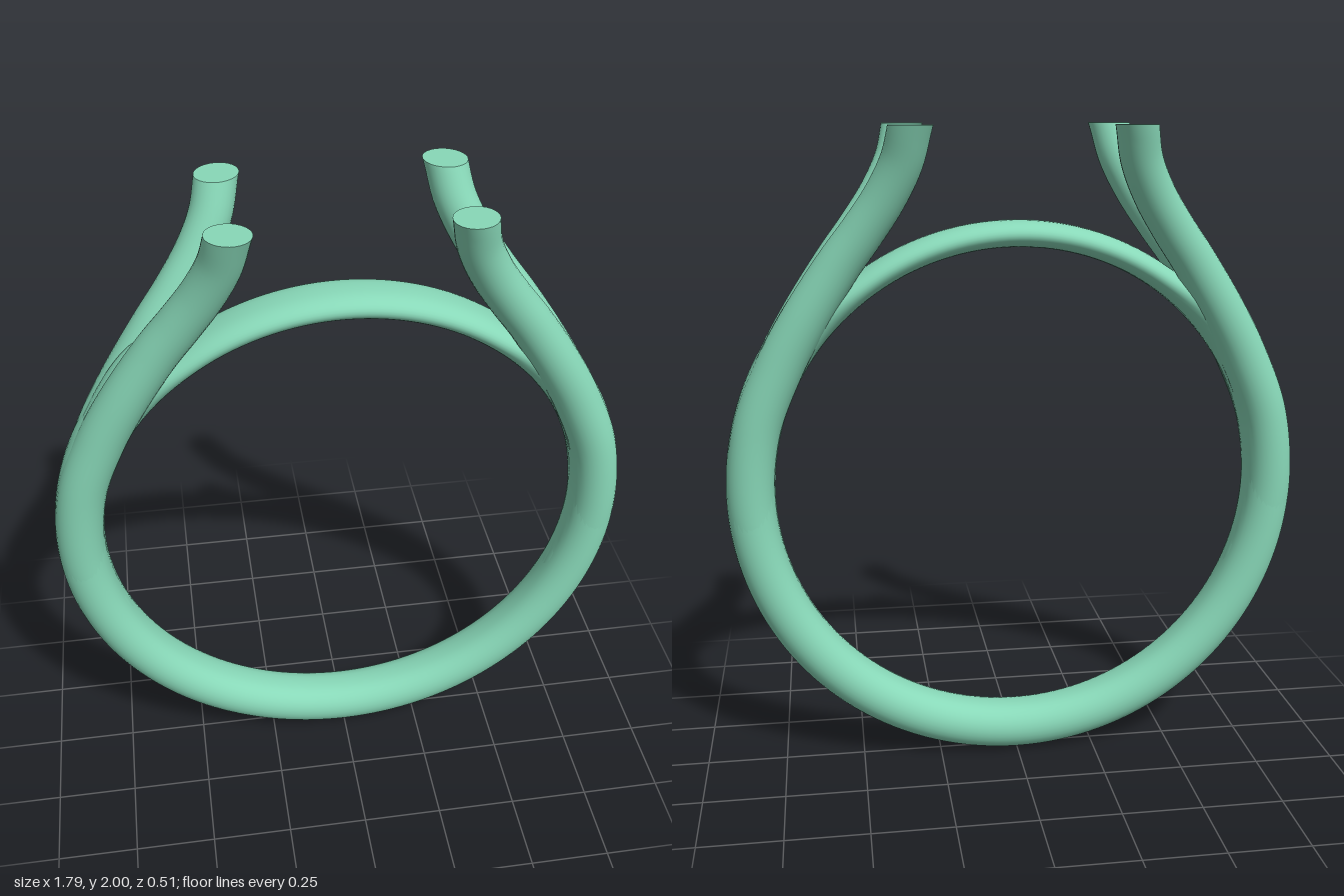
import * as THREE from 'three';

const CY = 0.896, R_IN = 0.745, TOP = 2;
const { lerp, smoothstep, degToRad, radToDeg } = THREE.MathUtils;
const material = new THREE.MeshStandardMaterial({ color: 0x88d8b8 });

// Skin a list of equally sized point loops; the list can close on itself
function loft(rings, closed) {
  const n = rings[0].length, m = rings.length, index = [];
  for (let i = 0; i < (closed ? m : m - 1); i++) {
    for (let j = 0; j < n; j++) {
      const k = (j + 1) % n, i2 = (i + 1) % m;
      const a = i * n + j, b = i * n + k, c = i2 * n + k, d = i2 * n + j;
      index.push(a, b, d, b, c, d);
    }
  }
  const g = new THREE.BufferGeometry().setFromPoints(rings.flat());
  g.setIndex(index);
  g.computeVertexNormals();
  return g;
}

// Band: rounded section, full at the sides and bottom, thin across the top
function bandGeometry() {
  const rings = [], steps = 160, sides = 32;
  for (let i = 0; i < steps; i++) {
    const a = (i / steps) * Math.PI * 2;              // angle from the top
    const fromTop = radToDeg(Math.min(a, Math.PI * 2 - a));
    const half = lerp(0.04, 0.075, smoothstep(fromTop, 34, 62));
    const loop = [];
    for (let j = 0; j < sides; j++) {
      const b = (j / sides) * Math.PI * 2;
      const r = R_IN + half + half * Math.cos(b);
      const z = 0.074 * Math.sin(b) + 0.012 * Math.tanh(4 * Math.sin(b));
      loop.push(new THREE.Vector3(Math.sin(a) * r, CY + Math.cos(a) * r, z));
    }
    rings.push(loop);
  }
  return loft(rings, true);
}

// Centre line of one prong: follows the band, then peels up and outwards
const onBand = (deg, z) => {
  const a = degToRad(deg);
  return new THREE.Vector3(0.82 * Math.cos(a), CY + 0.82 * Math.sin(a), z);
};
const points = [
  onBand(-24, 0.004), onBand(-12, 0.01), onBand(0, 0.016), onBand(15, 0.023), onBand(29, 0.034),
  new THREE.Vector3(0.637, 1.44, 0.05),
  new THREE.Vector3(0.533, 1.6, 0.072),
  new THREE.Vector3(0.46, 1.7, 0.094),
  new THREE.Vector3(0.394, 1.8, 0.122),
  new THREE.Vector3(0.346, 1.9, 0.154),
  new THREE.Vector3(0.322, TOP, 0.19),
];
const prongPath = new THREE.CatmullRomCurve3(points);
const prongRadius = (t) => lerp(0.073, 0.062, smoothstep(t, 0.35, 0.95));

// Middle of the fork: fills the groove between two prongs up to the crotch
const forkPath = new THREE.CatmullRomCurve3(
  points.slice(0, 7).map((p) => new THREE.Vector3(p.x, p.y, 0)));
const forkRadius = (t) => 0.07 * Math.sqrt(1 - t ** 14);

// Loops along a path, mirrored by signs sx and sz
function sweep(path, radius, sx, sz) {
  const rings = [], steps = 80, sides = 28;
  for (let i = 0; i <= steps; i++) {
    const t = i / steps, p = path.getPointAt(t), dir = path.getTangentAt(t);
    const u = new THREE.Vector3(0, 0, 1).addScaledVector(dir, -dir.z).normalize();
    const v = new THREE.Vector3().crossVectors(dir, u);
    const r = radius(t), loop = [];
    for (let j = 0; j < sides; j++) {
      const b = (j / sides) * Math.PI * 2 * sx * sz;
      const q = p.clone().addScaledVector(u, r * Math.cos(b)).addScaledVector(v, r * Math.sin(b));
      // Cut the prong ends level
      if (q.y > TOP || p.y > TOP - 1e-4) q.addScaledVector(dir, (TOP - q.y) / dir.y);
      loop.push(new THREE.Vector3(q.x * sx, q.y, q.z * sz));
    }
    rings.push(loop);
  }
  return rings;
}

// Flat cap closing the cut end
function capGeometry(loop) {
  const centre = loop.reduce((s, p) => s.add(p), new THREE.Vector3()).divideScalar(loop.length);
  const index = loop.flatMap((_, j) => [0, j + 1, ((j + 1) % loop.length) + 1]);
  const g = new THREE.BufferGeometry().setFromPoints([centre, ...loop]);
  g.setIndex(index);
  g.computeVertexNormals();
  return g;
}

export function createModel() {
  const model = new THREE.Group();
  model.name = 'ring';
  const add = (parent, geometry, name) => {
    const mesh = new THREE.Mesh(geometry, material);
    mesh.name = name;
    parent.add(mesh);
  };

  add(model, bandGeometry(), 'band');

  // Four prongs, a forked pair on each side
  for (const sx of [1, -1]) {
    const side = sx > 0 ? 'Left' : 'Right';
    add(model, loft(sweep(forkPath, forkRadius, sx, 1), false), `fork${side}`);
    for (const sz of [1, -1]) {
      const prong = new THREE.Group();
      prong.name = `${sz > 0 ? 'front' : 'back'}${side}Prong`;
      const rings = sweep(prongPath, prongRadius, sx, sz);
      add(prong, loft(rings, false), 'prongStem');
      add(prong, capGeometry(rings[rings.length - 1]), 'prongEnd');
      model.add(prong);
    }
  }
  return model;
}
